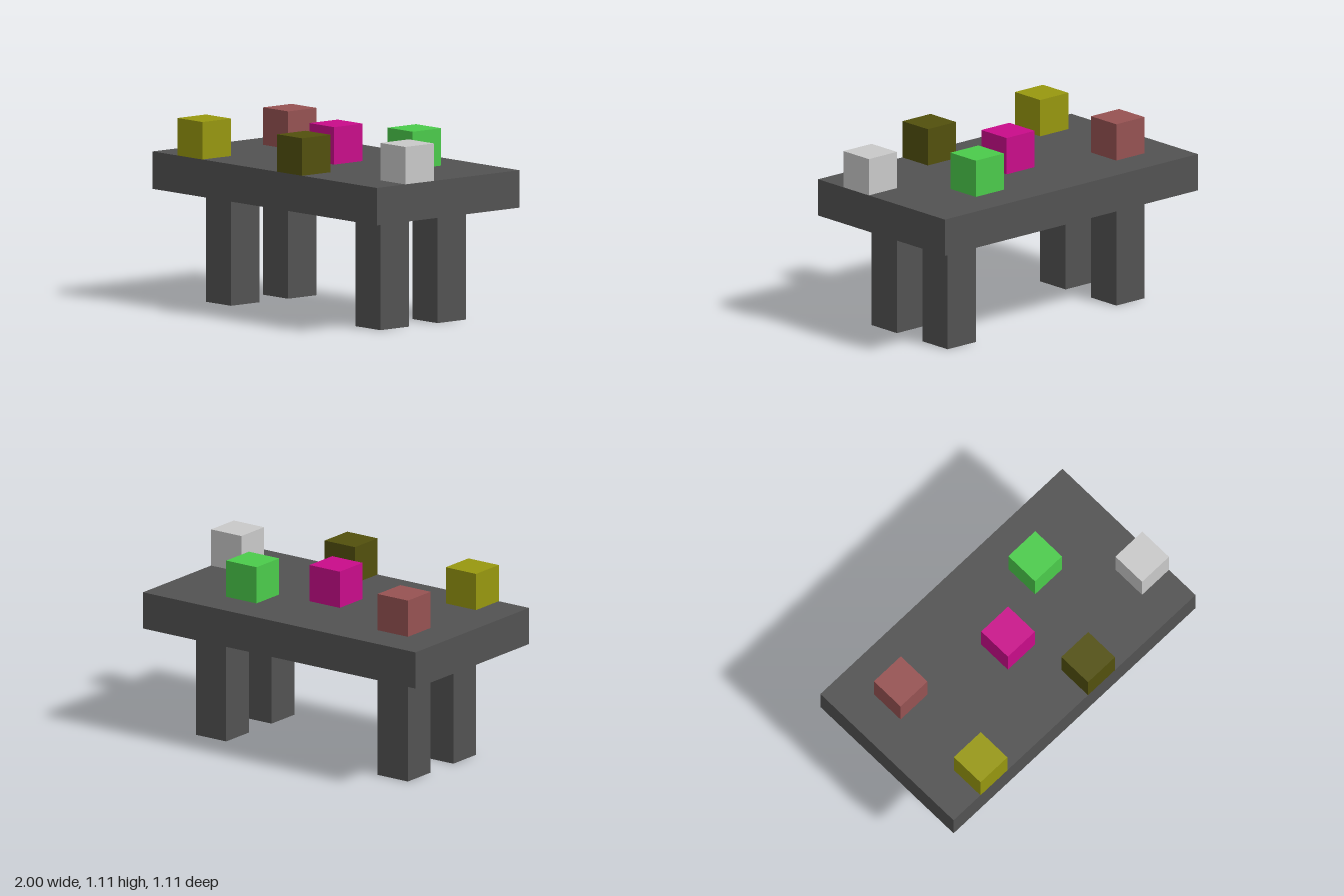
import * as THREE from 'three';

// The whole model sits on a grid of nine cells along its length
const U = 2 / 9;

function material(name, color) {
  const m = new THREE.MeshStandardMaterial({ color });
  m.name = name;
  return m;
}

// Box sized and placed in grid cells; y is its underside
function block(name, mat, [w, h, d], [x, y, z]) {
  const mesh = new THREE.Mesh(new THREE.BoxGeometry(w * U, h * U, d * U), mat);
  mesh.name = name;
  mesh.position.set(x * U, (y + h / 2) * U, z * U);
  return mesh;
}

export function createModel() {
  const model = new THREE.Group();
  model.name = 'tableWithCubes';
  const grey = material('dark grey', 0x525252);

  // Table top
  model.add(block('tableTop', grey, [9, 1, 5], [0, 3, 0]));

  // Four legs
  for (const x of [-3, 3]) {
    for (const z of [-1, 1]) {
      const name = (z > 0 ? 'front' : 'back') + (x > 0 ? 'Left' : 'Right') + 'Leg';
      model.add(block(name, grey, [1, 3, 1], [x, 0, z]));
    }
  }

  // Coloured cubes on the table: name, colour, x, z
  const cubes = [
    ['red', 0x965252, -3, -1],
    ['green', 0x4bcb4b, 2, -1],
    ['magenta', 0xc90c8a, 0, 0],
    ['white', 0xc9c9c9, 4, 1],
    ['yellow', 0x97970f, -3, 2],
    ['olive', 0x52500d, 1, 2],
  ];
  for (const [name, color, x, z] of cubes) {
    model.add(block(name + 'Cube', material(name, color), [1, 1, 1], [x, 4, z]));
  }

  return model;
}
